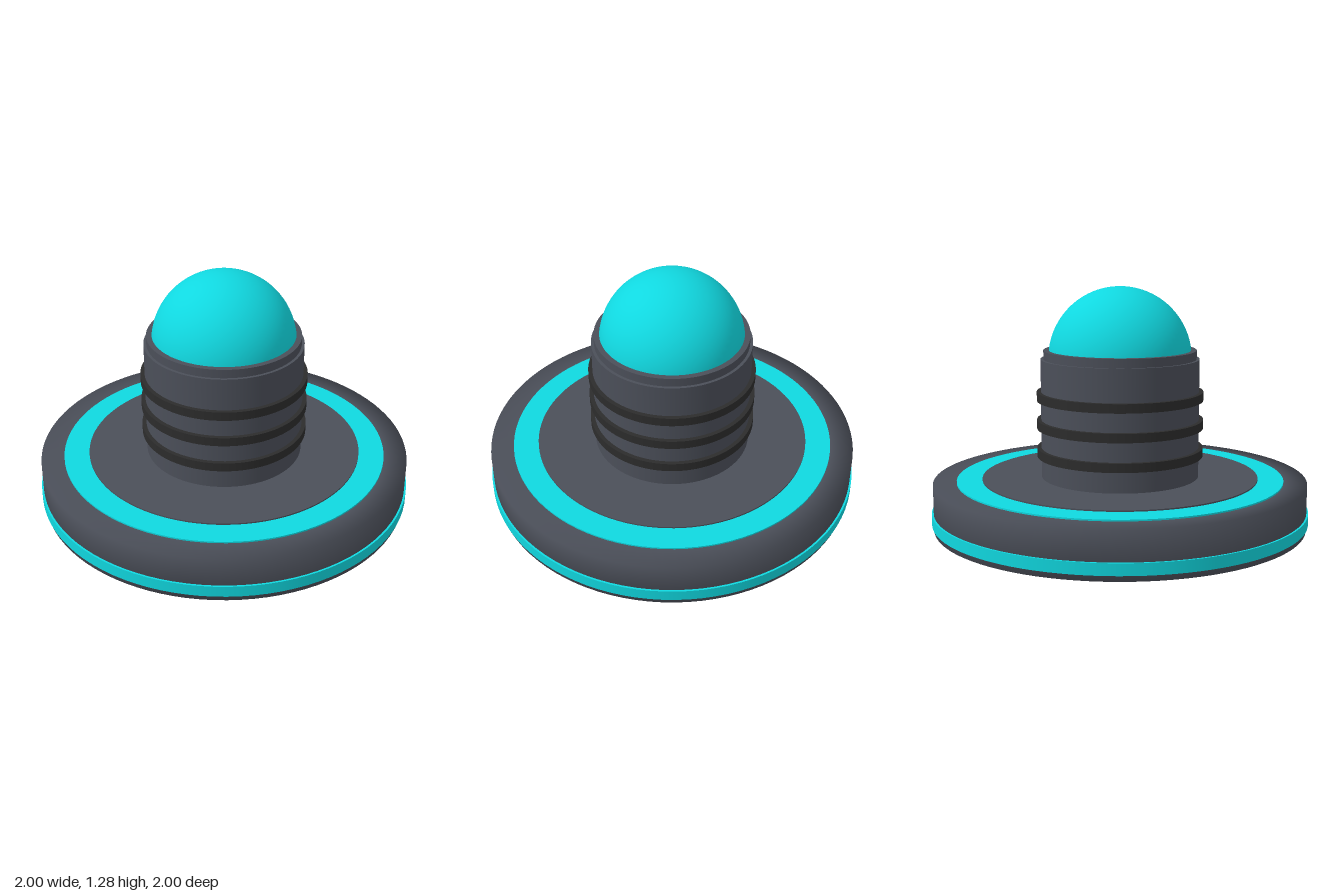
import * as THREE from 'three';

const SEG = 96;

export function createModel() {
  const group = new THREE.Group();
  const flat = (name, color) => {
    const m = new THREE.MeshStandardMaterial({ color });
    m.name = name;
    return m;
  };
  const slate = flat('slate', 0x4b4f59);
  const cyan = flat('cyan', 0x10d8e0);
  const rubber = flat('rubber', 0x2c2c2c);

  const add = (name, geometry, material, y = 0) => {
    const mesh = new THREE.Mesh(geometry, material);
    mesh.name = name;
    mesh.position.y = y;
    group.add(mesh);
  };
  // Upright disc between two heights
  const disc = (name, radius, y0, y1, material) =>
    add(name, new THREE.CylinderGeometry(radius, radius, y1 - y0, SEG), material, (y0 + y1) / 2);

  // Wide base with softly shaded rim
  const rim = [[0, 0.02], [0.87, 0.02], [0.99, 0.02], [0.99, 0.265], [0.87, 0.265], [0, 0.265]];
  add('base', new THREE.LatheGeometry(rim.map(([r, y]) => new THREE.Vector2(r, y)), SEG), slate);
  disc('baseBand', 1.0, 0.05, 0.11, cyan);

  // Inlays showing on both the top and the underside
  disc('ringInlay', 0.867, 0.01, 0.273, cyan);
  disc('centrePlate', 0.732, 0, 0.28, slate);

  // Handle with grip rings
  disc('handle', 0.418, 0.27, 0.907, slate);
  for (const y of [0.39, 0.54, 0.688]) disc('gripRing', 0.44, y, y + 0.047, rubber);
  disc('collar', 0.403, 0.9, 0.953, slate);

  // Domed cap
  add('dome', new THREE.SphereGeometry(0.377, 64, 24, 0, Math.PI * 2, 0, Math.PI / 2), cyan, 0.908);

  return group;
}
